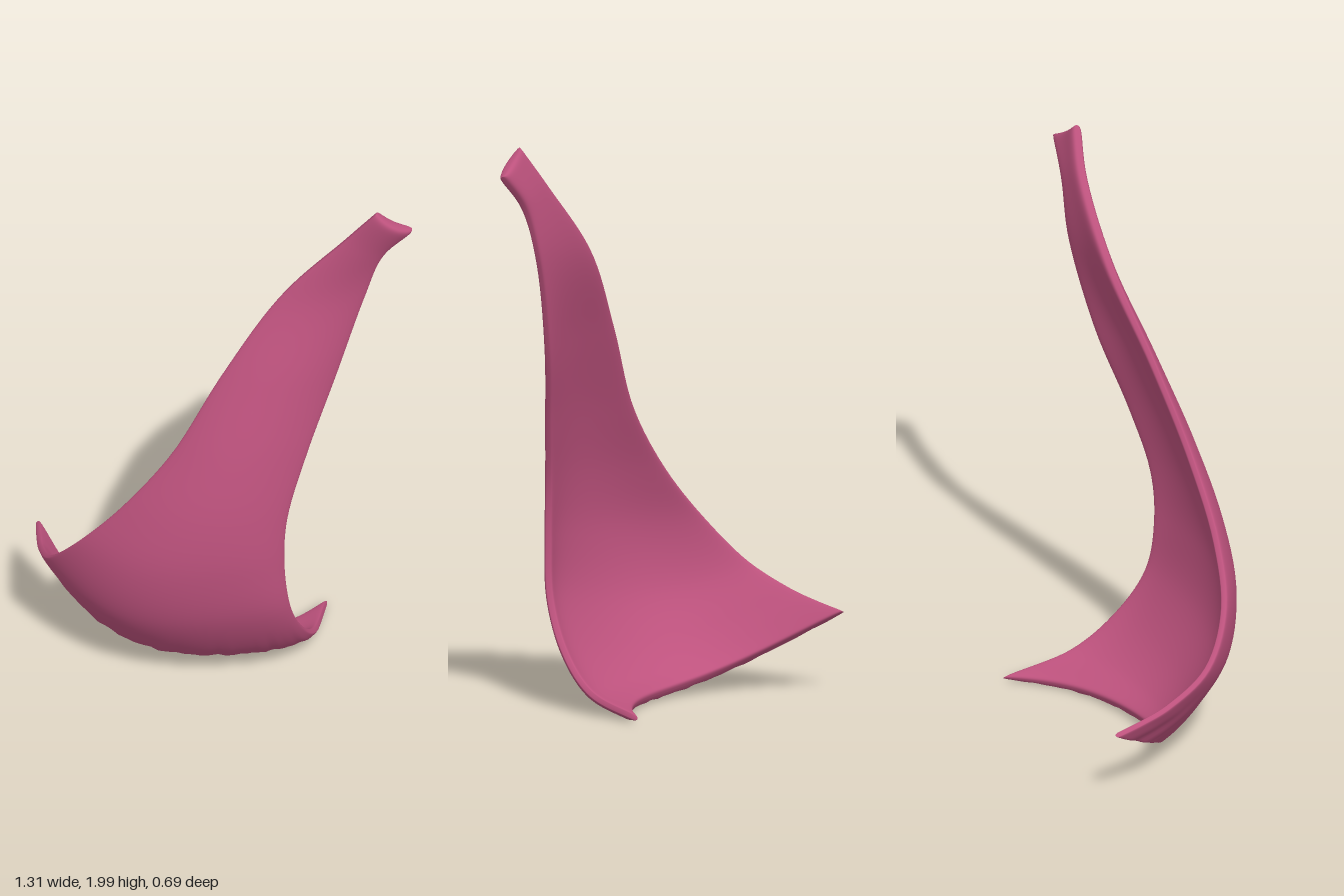
import * as THREE from 'three';

const curve = (pts) => new THREE.CatmullRomCurve3(pts.map((p) => new THREE.Vector3(...p)));

// Three guide curves, from the narrow stem down to the flared lip
const leftEdge = curve([
  [0.53, 1.995, 0.115], [0.42, 1.85, 0.082], [0.2, 1.6, 0.075], [0.0, 1.3, 0.138], [-0.17, 1.0, 0.195],
  [-0.35, 0.76, 0.2], [-0.5, 0.575, 0.15], [-0.597, 0.425, 0.035], [-0.635, 0.34, -0.13], [-0.645, 0.308, -0.24], [-0.65, 0.285, -0.345],
]);
const centre = curve([
  [0.588, 1.945, 0.118], [0.48, 1.81, 0.09], [0.335, 1.6, 0.091], [0.19, 1.29, 0.178], [0.05, 1.0, 0.263],
  [-0.05, 0.76, 0.312], [-0.1, 0.56, 0.322], [-0.12, 0.35, 0.284], [-0.12, 0.175, 0.185], [-0.13, 0.078, 0.085], [-0.14, 0.036, 0.0],
]);
const rightEdge = curve([
  [0.65, 1.91, 0.09], [0.55, 1.79, 0.074], [0.485, 1.6, 0.066], [0.382, 1.28, 0.112], [0.285, 1.0, 0.192],
  [0.222, 0.77, 0.245], [0.212, 0.58, 0.255], [0.232, 0.38, 0.23], [0.275, 0.21, 0.13], [0.315, 0.085, -0.02], [0.348, 0.022, -0.262],
]);
// Leans the belly of the cup toward its left side
const lean = new THREE.Vector3(-0.035, -0.025, 0.022);

// Middle of the sheet: a parabola through the three guides, plus the lean
function sheet(u, v) {
  const a = 2 * (u - 0.5) * (u - 1), b = 4 * u * (1 - u), c = 2 * u * (u - 0.5);
  const d = Math.sin(2 * Math.PI * u) * THREE.MathUtils.smoothstep(v, 0.4, 0.8);
  return leftEdge.getPoint(v).multiplyScalar(a)
    .addScaledVector(centre.getPoint(v), b)
    .addScaledVector(rightEdge.getPoint(v), c)
    .addScaledVector(lean, d);
}

function sheetNormal(u, v) {
  const e = 0.004, u0 = Math.max(0, u - e), u1 = Math.min(1, u + e);
  const v0 = Math.max(0, v - e), v1 = Math.min(1, v + e);
  const du = sheet(u1, v).sub(sheet(u0, v));
  return sheet(u, v1).sub(sheet(u, v0)).cross(du).normalize();
}

// Closed loops around the sheet give it thickness and a rounded rim
function petalGeometry(rows = 100, around = 128) {
  const positions = [], index = [];
  for (let i = 0; i <= rows; i++) {
    const v = 0.5 - 0.5 * Math.cos((Math.PI * i) / rows);
    const endTaper = Math.pow(Math.max(0, 1 - Math.pow(Math.abs(2 * v - 1), 90)), 0.35);
    // The stem is fuller on its inner face than the cup
    const stem = 1 - THREE.MathUtils.smoothstep(v, 0.25, 0.6);
    for (let j = 0; j < around; j++) {
      const angle = (j / around) * Math.PI * 2;
      const u = 0.5 - 0.5 * Math.cos(angle), s = Math.sin(angle);
      let offset;
      if (s > 0) {
        // Shallow creases fan out over the outer face near the lip
        const fade = THREE.MathUtils.smoothstep(v, 0.72, 0.95) * s;
        offset = 0.022 * Math.pow(s, 0.36) + 0.0025 * fade * (Math.sin(u * 61) + Math.sin(u * 97 + 4 * v));
      } else {
        offset = -(0.022 + 0.007 * stem) * Math.pow(-s, 0.36 + 0.3 * stem);
      }
      const p = sheet(u, v).addScaledVector(sheetNormal(u, v), offset * endTaper);
      positions.push(p.x, Math.max(0, p.y), p.z);
      if (i < rows) {
        const k = (j + 1) % around, a = i * around, b = a + around;
        index.push(a + j, b + j, a + k, a + k, b + j, b + k);
      }
    }
  }
  const geometry = new THREE.BufferGeometry();
  geometry.setAttribute('position', new THREE.Float32BufferAttribute(positions, 3));
  geometry.setIndex(index);
  geometry.computeVertexNormals();
  return geometry;
}

export function createModel() {
  const rose = new THREE.MeshStandardMaterial({ color: 0xbd527d });
  rose.name = 'rose pink';
  const petal = new THREE.Mesh(petalGeometry(), rose);
  petal.name = 'petal';
  const model = new THREE.Group();
  model.name = 'curvedPetal';
  model.add(petal);
  return model;
}
